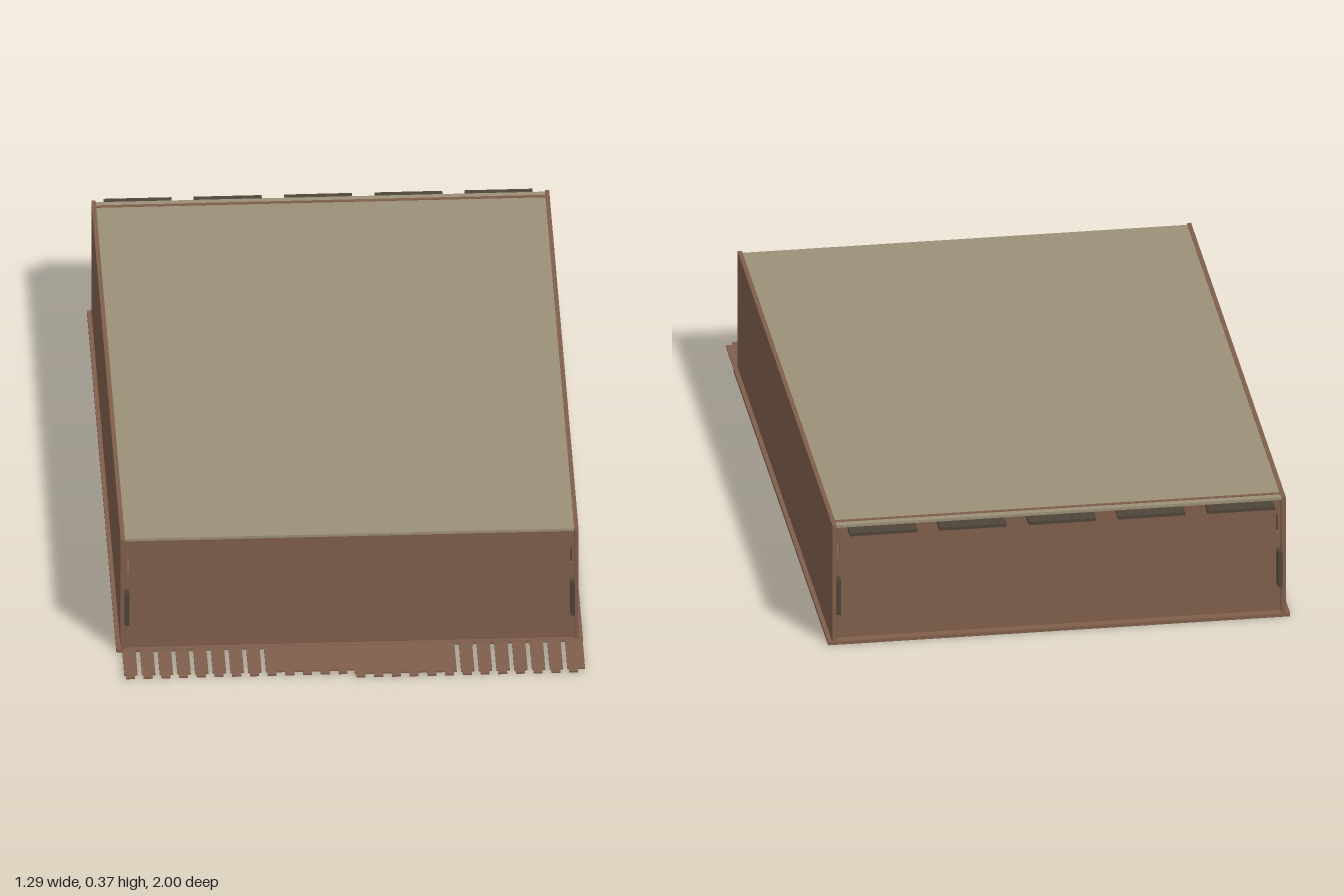
import * as THREE from 'three';

export function createModel() {
  const model = new THREE.Group();
  const mat = (name, color) => {
    const m = new THREE.MeshStandardMaterial({ color });
    m.name = name;
    return m;
  };
  const brown = mat('brown board', 0x805f4c);
  const tan = mat('tan lid', 0x9c9078);
  const dark = mat('dark tab', 0x4e4439);

  const add = (name, geometry, material) => {
    const mesh = new THREE.Mesh(geometry, material);
    mesh.name = name;
    model.add(mesh);
    return mesh;
  };
  // Box given by its lower and upper limits on each axis
  const slab = (name, material, x0, x1, y0, y1, z0, z1) => {
    const mesh = add(name, new THREE.BoxGeometry(x1 - x0, y1 - y0, z1 - z0), material);
    mesh.position.set((x0 + x1) / 2, (y0 + y1) / 2, (z0 + z1) / 2);
  };

  // Base board, slightly wider than the box
  slab('base', brown, -0.646, 0.646, 0, 0.01, -0.97, 0.83);

  // Side walls
  for (const s of [-1, 1]) {
    const a = s * 0.622, b = s * 0.634;
    slab(s > 0 ? 'leftWall' : 'rightWall', brown,
      Math.min(a, b), Math.max(a, b), 0.01, 0.365, -0.97, 0.83);
  }

  // End panels, each with a narrow slot near both edges
  const endPanel = (name, z, height) => {
    const shape = new THREE.Shape();
    shape.moveTo(-0.622, 0.01).lineTo(0.622, 0.01).lineTo(0.622, height).lineTo(-0.622, height);
    shape.closePath();
    for (const x of [-0.613, 0.613]) {
      const hole = new THREE.Path();
      hole.moveTo(x - 0.003, 0.25).lineTo(x - 0.003, 0.3);
      hole.lineTo(x + 0.003, 0.3).lineTo(x + 0.003, 0.25);
      hole.closePath();
      shape.holes.push(hole);
    }
    const g = new THREE.ExtrudeGeometry(shape, { depth: 0.01, bevelEnabled: false });
    add(name, g, brown).position.z = z;
  };
  endPanel('frontPanel', 0.81, 0.355);
  endPanel('backPanel', -0.945, 0.355);

  // Lid with a joint strip across its back
  slab('lid', tan, -0.622, 0.622, 0.355, 0.363, -0.965, 0.822);
  slab('jointStrip', brown, -0.622, 0.622, 0.36, 0.365, -0.945, -0.935);

  // Hinge tabs behind the lid
  for (let i = 0; i < 5; i++) {
    const x = -0.505 + i * 0.25;
    slab('lidTab', dark, x - 0.094, x + 0.094, 0.343, 0.352, -1, -0.95);
  }

  // Upright locking tabs at the corners
  for (const x of [-0.617, 0.617]) {
    slab('frontTab', dark, x - 0.006, x + 0.006, 0.095, 0.2, 0.815, 0.845);
    slab('backTab', dark, x - 0.006, x + 0.006, 0.095, 0.2, -0.98, -0.94);
  }

  // Flat comb-toothed flap in front: deep slots at the outside, short teeth in the middle
  const flap = new THREE.Shape();
  const left = -0.63, right = 0.645, pitch = (right - left) / 26;
  flap.moveTo(left, 0.8);
  for (let i = 0; i < 26; i++) {
    const x = left + i * pitch, end = x < 0 ? 0.978 : 0.998;
    const outer = x < -0.28 || x > 0.22;
    const gap = outer ? 0.012 : 0.02;
    flap.lineTo(x, end - 0.018);
    flap.lineTo(x + 0.004, end - 0.018);
    flap.lineTo(x + 0.004, end);
    flap.lineTo(x + pitch - 0.02, end);
    flap.lineTo(x + pitch - 0.02, end - 0.018);
    if (i === 25) continue;
    flap.lineTo(x + pitch - gap, end - 0.018);
    if (outer) {
      flap.lineTo(x + pitch - gap, 0.835);
      flap.lineTo(x + pitch, 0.835);
    } else {
      flap.lineTo(x + pitch, end - 0.018);
    }
  }
  flap.lineTo(right, 0.98);
  flap.lineTo(right, 0.8);
  flap.closePath();
  const flapGeometry = new THREE.ExtrudeGeometry(flap, { depth: 0.005, bevelEnabled: false });
  flapGeometry.rotateX(Math.PI / 2);
  add('combFlap', flapGeometry, brown).position.y = 0.0085;

  return model;
}
